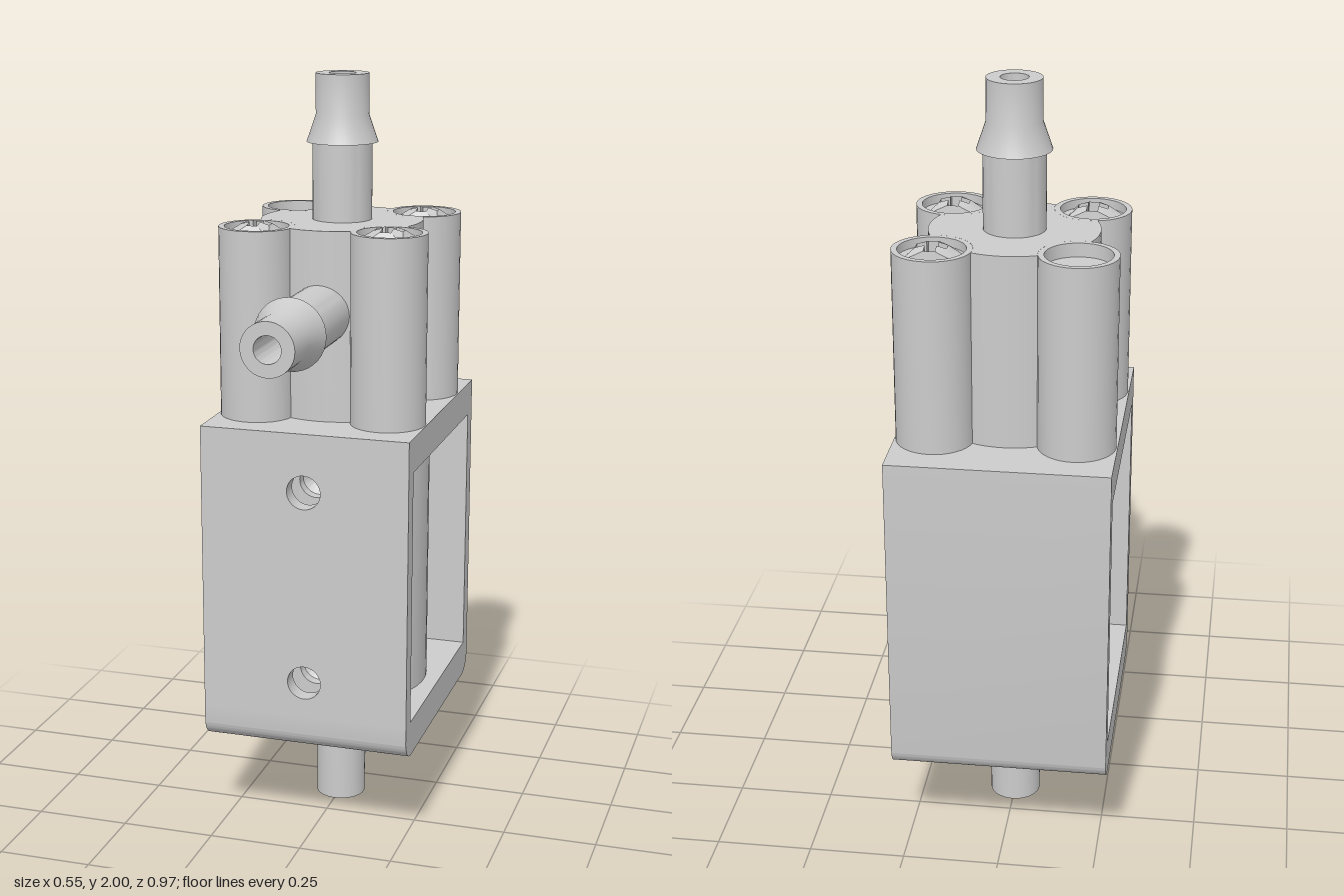
import * as THREE from 'three';
import { toCreasedNormals } from 'three/addons/utils/BufferGeometryUtils.js';

const AXIS_Z = -0.137; // main axis of coil, head and stems
const SIDES = 36;
const material = new THREE.MeshStandardMaterial({ color: 0xcccccc });

function part(name, geometry, parent, x = 0, y = 0, z = 0) {
  const mesh = new THREE.Mesh(toCreasedNormals(geometry, 0.5), material);
  mesh.name = name;
  mesh.position.set(x, y, z);
  parent.add(mesh);
  return mesh;
}

const lathe = (points) =>
  new THREE.LatheGeometry(points.map(([r, y]) => new THREE.Vector2(r, y)), SIDES);

const extrude = (shape, depth) =>
  new THREE.ExtrudeGeometry(shape, { depth, bevelEnabled: false, curveSegments: 18 });

const polygon = (points) => new THREE.Shape(points.map(([x, y]) => new THREE.Vector2(x, y)));

function circleHole(x, y, r) {
  return new THREE.Path().absarc(x, y, r, 0, Math.PI * 2, true);
}

// Hollow hose barb, tip at the origin, running down -y
const barb = (length) => lathe([
  [0.078, -length], [0.078, -0.175], [0.093, -0.175], [0.069, -0.105],
  [0.069, 0], [0.035, 0], [0.035, -0.3], [0, -0.3],
]);

// Domed screw head with a cross recess, lying in the xz plane
function screwHead() {
  const R = 0.082, a = 0.038, w = 0.014, edge = 0.013, rise = 0.036;
  const disc = new THREE.Shape().absarc(0, 0, R, 0, Math.PI * 2, false);
  disc.holes.push(polygon([
    [a, -w], [w, -w], [w, -a], [-w, -a], [-w, -w], [-a, -w],
    [-a, w], [-w, w], [-w, a], [w, a], [w, w], [a, w],
  ]));
  const geometry = extrude(disc, edge);
  const p = geometry.attributes.position;
  for (let i = 0; i < p.count; i++) {
    const r = Math.hypot(p.getX(i), p.getY(i)) / R;
    if (p.getZ(i) > edge / 2) p.setZ(i, edge + rise * (1 - r * r));
  }
  return geometry.rotateX(-Math.PI / 2);
}

export function createModel() {
  const model = new THREE.Group();
  model.name = 'solenoidValve';

  const W = 0.277, bottom = 0.265, top = 1.13;
  const front = 0.207, back = -0.485, wall = 0.046;
  const winLow = 0.36, winHigh = 1.04, round = 0.055;
  const holeR = 0.045, holeYs = [0.455, 0.975];

  // Frame: C-shaped side profile with rounded lower edges, drawn in (z, y)
  const profile = new THREE.Shape();
  profile.moveTo(back, top);
  profile.lineTo(back, bottom + round);
  profile.absarc(back + round, bottom + round, round, Math.PI, Math.PI * 1.5, false);
  profile.absarc(front - round, bottom + round, round, -Math.PI / 2, 0, false);
  profile.lineTo(front, winLow);
  profile.lineTo(back + wall, winLow);
  profile.lineTo(back + wall, winHigh);
  profile.lineTo(front, winHigh);
  profile.lineTo(front, top);
  part('frame', extrude(profile, 2 * W).rotateY(-Math.PI / 2), model, W);

  // Front wall with two mounting holes
  const panel = polygon([[-W, winLow], [W, winLow], [W, winHigh], [-W, winHigh]]);
  holeYs.forEach((y) => panel.holes.push(circleHole(0, y, holeR)));
  part('frontWall', extrude(panel, wall), model, 0, 0, front - wall);

  // Coil: drum with a narrow flat strip in front, where the holes bite in
  const coilR = 0.237, gap = 0.2;
  const stripX = coilR * Math.sin(gap), stripZ = AXIS_Z + coilR * Math.cos(gap);
  const drum = new THREE.CylinderGeometry(coilR, coilR, winHigh - winLow, SIDES, 1, true,
    gap, Math.PI * 2 - 2 * gap);
  part('coil', drum, model, 0, (winLow + winHigh) / 2, AXIS_Z);
  const strip = polygon([[-stripX, winLow], [stripX, winLow], [stripX, winHigh], [-stripX, winHigh]]);
  holeYs.forEach((y) => strip.holes.push(circleHole(0, y, holeR)));
  part('coilFrontStrip', new THREE.ShapeGeometry(strip, 18), model, 0, 0, stripZ);
  holeYs.forEach((y) => {
    const dimple = lathe([[holeR, 0], [holeR, -0.03], [0.027, -0.05], [0, -0.05]]);
    part('holeBottom', dimple.rotateX(Math.PI / 2), model, 0, y, stripZ);
  });

  // Valve head: round body with scallops that receive the four screw columns
  const headTop = 1.625, headR = 0.212, colR = 0.098, off = 0.176;
  const d = off * Math.SQRT2;
  const headCut = Math.acos((headR ** 2 + d ** 2 - colR ** 2) / (2 * headR * d));
  const colCut = Math.acos((colR ** 2 + d ** 2 - headR ** 2) / (2 * colR * d));
  const outline = new THREE.Shape();
  for (let i = 0; i < 4; i++) {
    const a = Math.PI / 4 + (i * Math.PI) / 2;
    outline.absarc(d * Math.cos(a), d * Math.sin(a), colR,
      a + Math.PI + colCut, a + Math.PI - colCut, true);
    outline.absarc(0, 0, headR, a + headCut, a + Math.PI / 2 - headCut, false);
  }
  part('valveHead', extrude(outline, headTop - top).rotateX(-Math.PI / 2), model, 0, top, AXIS_Z);

  // Screw columns with counterbores; one is left without a screw
  const floor = headTop - 0.035, boreR = 0.083;
  for (const sx of [-1, 1]) for (const sz of [-1, 1]) {
    const x = sx * off, z = AXIS_Z + sz * off;
    part('screwColumn', lathe([
      [colR, top], [colR, headTop], [boreR, headTop], [boreR, floor], [0, floor],
    ]), model, x, 0, z);
    if (sx > 0 || sz > 0) part('screw', screwHead(), model, x, floor, z);
  }

  // Ports
  part('topBarb', barb(0.39), model, 0, 2, AXIS_Z);
  part('frontBarb', barb(0.44).rotateX(Math.PI / 2), model, 0, 1.408, 0.483);
  part('bottomStem', lathe([
    [0, 0.2], [0.03, 0.2], [0.03, 0], [0.067, 0], [0.067, bottom + 0.01],
  ]), model, 0, 0, AXIS_Z);

  return model;
}
